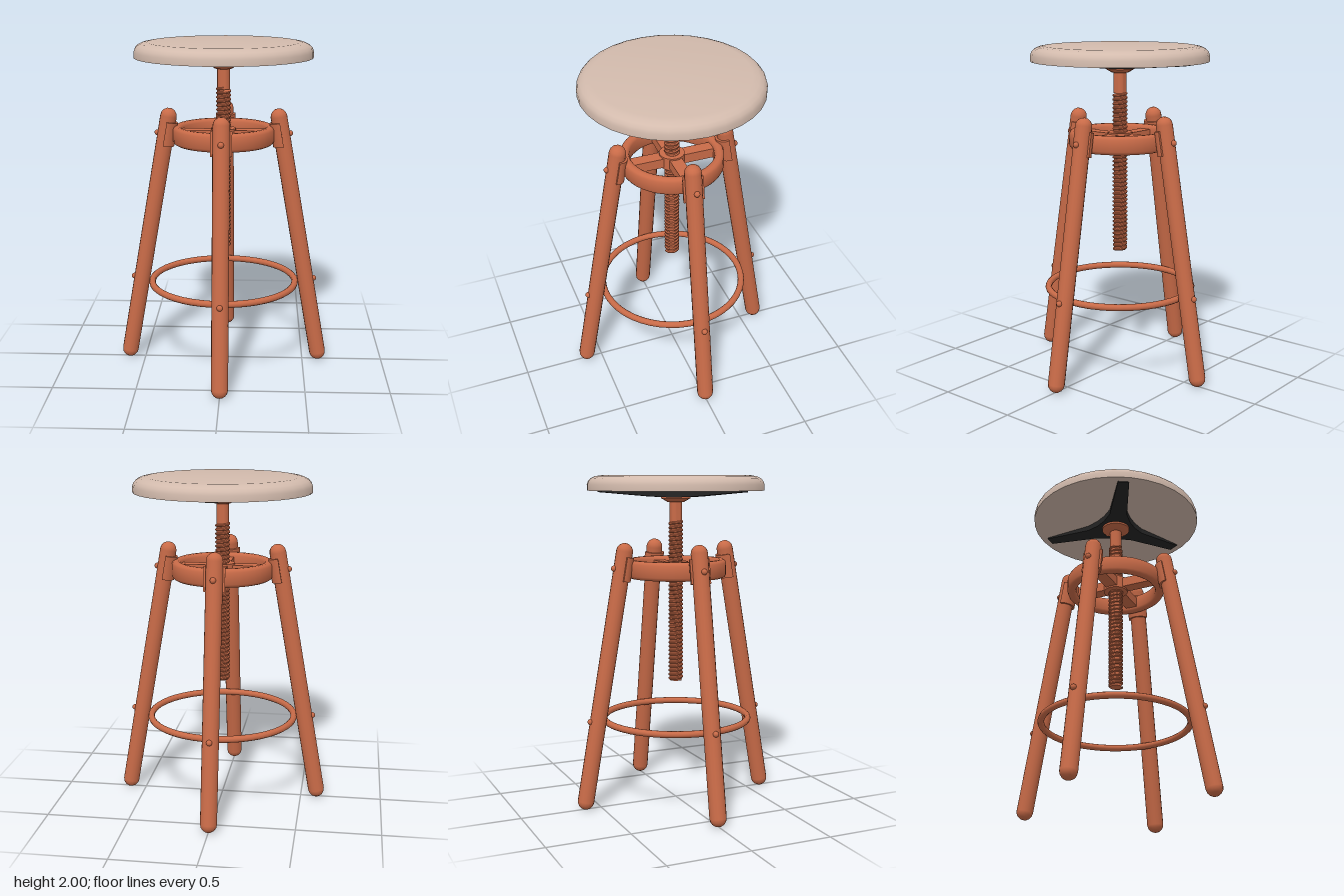
import * as THREE from 'three';
import { toCreasedNormals } from 'three/addons/utils/BufferGeometryUtils.js';

const mat = (name, color, extra = {}) => {
  const m = new THREE.MeshStandardMaterial({ color, ...extra });
  m.name = name;
  return m;
};

export function createModel() {
  const copper = mat('copper', 0xc96b48);
  const beige = mat('beige', 0xd3bbad);
  const black = mat('black', 0x252525);

  const stool = new THREE.Group();
  stool.name = 'stool';

  const add = (parent, name, geometry, material, x = 0, y = 0, z = 0) => {
    const mesh = new THREE.Mesh(geometry, material);
    mesh.name = name;
    mesh.position.set(x, y, z);
    parent.add(mesh);
    return mesh;
  };
  const lathe = (pts, segments = 32) =>
    toCreasedNormals(new THREE.LatheGeometry(pts.map(([r, y]) => new THREE.Vector2(r, y)), segments), 0.8);

  // Padded seat with a rounded upper edge
  add(stool, 'seat', lathe([
    [0, 1.91], [0.532, 1.91], [0.532, 1.945], [0.525, 1.965],
    [0.51, 1.982], [0.485, 1.994], [0.45, 2.0], [0, 2.0],
  ]), beige);

  // Three-armed bracket under the seat, thinning towards the arm tips
  const star = new THREE.Shape();
  for (let i = 0; i < 3; i++) {
    const a = Math.PI / 2 + i * Math.PI * 2 / 3;
    const put = (along, side) => {
      const x = along * Math.cos(a) - side * Math.sin(a);
      const y = along * Math.sin(a) + side * Math.cos(a);
      if (i === 0 && along === 0.09) star.moveTo(x, y);
      else star.lineTo(x, y);
    };
    [[0.09, -0.085], [0.17, -0.055], [0.485, -0.035], [0.485, 0.035], [0.17, 0.055]].forEach(([u, v]) => put(u, v));
    put(0.0901, 0.085);
  }
  const starGeo = new THREE.ExtrudeGeometry(star, { depth: 1, bevelEnabled: false });
  starGeo.rotateX(-Math.PI / 2);
  const sp = starGeo.attributes.position;
  for (let i = 0; i < sp.count; i++) {
    const r = Math.hypot(sp.getX(i), sp.getZ(i));
    const low = 1.871 + 0.032 * THREE.MathUtils.clamp((r - 0.12) / 0.37, 0, 1);
    sp.setY(i, sp.getY(i) > 0.5 ? 1.912 : low);
  }
  starGeo.computeVertexNormals();
  add(stool, 'seatBracket', starGeo, black);

  // Smooth upper shaft with its flared flange
  add(stool, 'shaft', lathe([
    [0, 1.72], [0.038, 1.72], [0.038, 1.842], [0.05, 1.842], [0.088, 1.864], [0.088, 1.876], [0, 1.876],
  ], 24), copper);

  // Threaded spindle: a ridged profile sheared into a helix
  const pitch = 0.025, turns = 39, thread = [[0, 0.752], [0.037, 0.752]];
  for (let i = 0; i < turns; i++) {
    const y = 0.752 + i * pitch;
    thread.push([0.038, y + 0.004], [0.045, y + 0.009], [0.045, y + 0.016], [0.038, y + 0.021]);
  }
  thread.push([0, 0.752 + turns * pitch]);
  const screw = new THREE.LatheGeometry(thread.map(([r, y]) => new THREE.Vector2(r, y)), 20);
  const tp = screw.attributes.position;
  const rows = thread.length;
  for (let i = 0; i < tp.count; i++) {
    const row = i % rows;
    if (row > 1 && row < rows - 1) tp.setY(i, tp.getY(i) + pitch * (Math.floor(i / rows) / 20 - 0.5));
  }
  add(stool, 'screw', toCreasedNormals(screw, 0.6), copper);

  // Upper ring with rounded edges
  add(stool, 'upperRing', lathe([
    [0.25, 1.41], [0.256, 1.397], [0.268, 1.39], [0.287, 1.39], [0.299, 1.397], [0.306, 1.41],
    [0.306, 1.48], [0.299, 1.493], [0.287, 1.5], [0.268, 1.5], [0.256, 1.493], [0.25, 1.48], [0.25, 1.41],
  ], 40), copper);

  // Nut and cross spokes holding the screw
  add(stool, 'nut', new THREE.CylinderGeometry(0.075, 0.075, 0.08, 20), copper, 0, 1.445);
  for (let i = 0; i < 2; i++) {
    const spoke = add(stool, 'spokes', new THREE.BoxGeometry(0.53, 0.06, 0.075), copper, 0, 1.445);
    spoke.rotation.y = i * Math.PI / 2;
  }

  // Footrest ring
  const foot = new THREE.TorusGeometry(0.445, 0.02, 10, 48);
  foot.rotateX(Math.PI / 2);
  add(stool, 'footRing', foot, copper, 0, 0.52);

  // Shared leg parts
  const legGeo = new THREE.CapsuleGeometry(0.05, 1.528, 4, 16);
  const saddle = new THREE.Shape();
  saddle.absarc(0, 0, 0.063, Math.PI / 2, Math.PI * 1.5, false);
  saddle.absarc(0, 0, 0.047, Math.PI * 1.5, Math.PI / 2, true);
  saddle.closePath();
  const saddleGeo = new THREE.ExtrudeGeometry(saddle, { depth: 0.145, bevelEnabled: false, curveSegments: 10 });
  saddleGeo.translate(0, 0, -0.0725);
  saddleGeo.rotateX(-Math.PI / 2);
  const boltGeo = new THREE.SphereGeometry(0.018, 12, 8);

  // Four splayed legs, each with a saddle clamp and two bolts
  for (let i = 0; i < 4; i++) {
    const pivot = new THREE.Group();
    pivot.name = 'legAssembly';
    pivot.rotation.y = i * Math.PI / 2;
    const leg = new THREE.Group();
    leg.name = 'leg';
    leg.position.set(0.464, 0.8025, 0);
    leg.rotation.z = Math.atan2(0.264, 1.505);
    add(leg, 'legPole', legGeo, copper);
    add(leg, 'saddleClamp', toCreasedNormals(saddleGeo, 0.6), copper, 0, 0.66);
    add(leg, 'upperBolt', boltGeo, copper, 0.05, 0.654);
    add(leg, 'lowerBolt', boltGeo, copper, 0.05, -0.275);
    pivot.add(leg);
    stool.add(pivot);
  }
  return stool;
}
